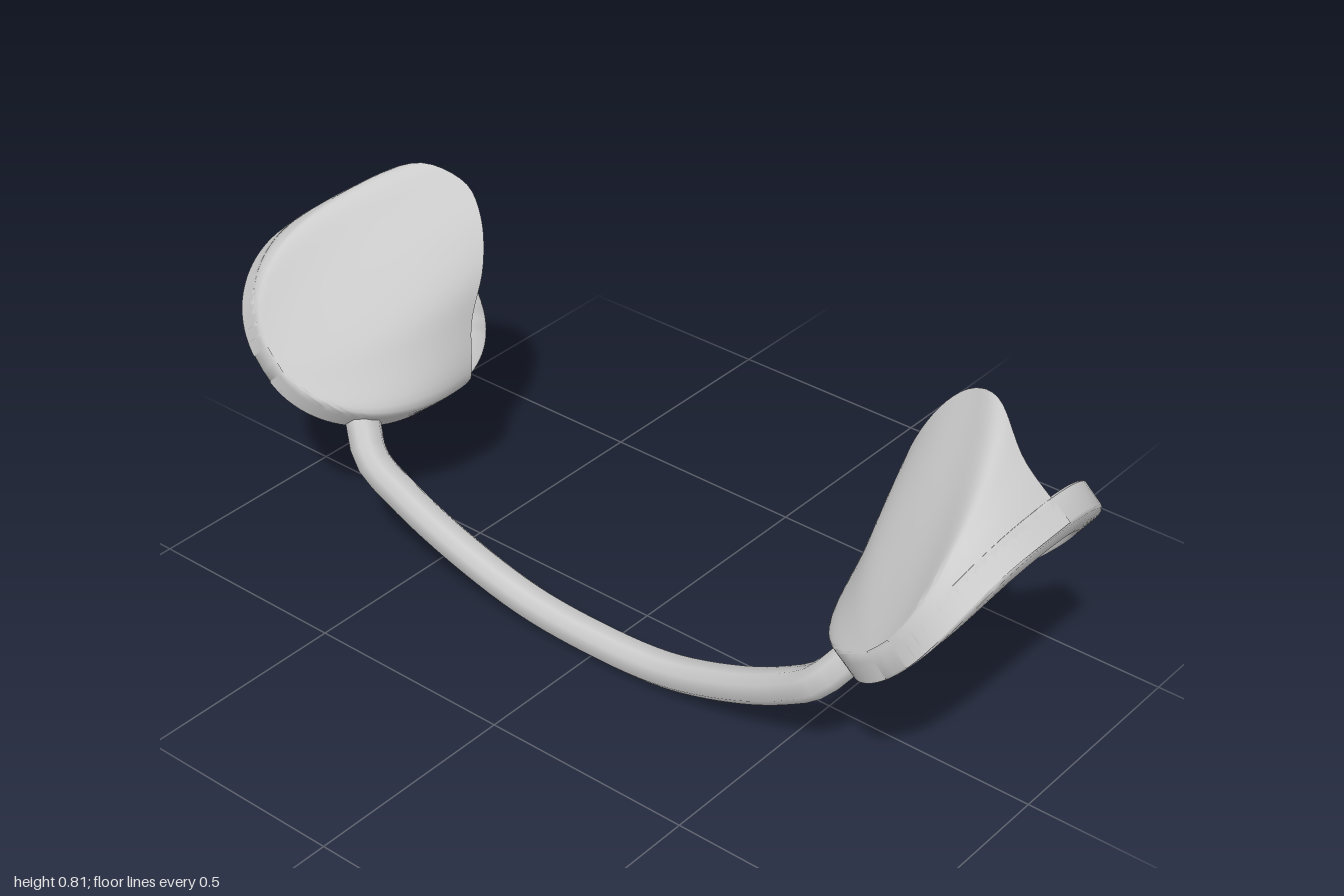
import * as THREE from 'three';
import { toCreasedNormals } from 'three/addons/utils/BufferGeometryUtils.js';

const HALF_Z = 0.30, HALF_U = 0.257, DEPTH = 0.066;

// Each cup is laid out in its own frame: u runs up and outward along the
// rim, n points inward and up away from it, z is the model's z.
const CENTRE = new THREE.Vector3(0.825, 0.473, 0);
const U = new THREE.Vector3(0.68, 0.73, 0);
const N = new THREE.Vector3(-0.73, 0.68, 0);

function place(u, n, z, side) {
  const p = CENTRE.clone().addScaledVector(U, u).addScaledVector(N, n);
  return [p.x * side, p.y, z];
}

// The rim bows outward at its middle and is rounder along its lower half
const bow = (u) => 0.05 * Math.max(0, 1 - (u / HALF_U) ** 2);
const roundness = (u) => (u > 0 ? 2.45 : 2.25);

// Joins rows of points into a surface
function loft(rows, closed, side, crease) {
  const count = rows[0].length, index = [];
  for (let i = 0; i < rows.length - 1; i++) {
    for (let j = 0; j < (closed ? count : count - 1); j++) {
      const k = (j + 1) % count;
      const a = i * count + j, b = i * count + k, c = a + count, d = b + count;
      if (side > 0) index.push(a, b, c, b, d, c);
      else index.push(a, c, b, b, c, d);
    }
  }
  const geo = new THREE.BufferGeometry();
  geo.setAttribute('position', new THREE.Float32BufferAttribute(rows.flat(2), 3));
  geo.setIndex(index);
  return toCreasedNormals(geo, crease);
}

// Rounded oval rim: a bevelled rectangle swept round a superellipse
function rimGeometry(side) {
  const b = 0.08;
  const section = [[1, b], [1, 1 - b], [1 - b, 1], [b, 1], [0, 1 - b], [0, b], [b, 0], [1 - b, 0]];
  const power = (v, p) => Math.sign(v) * Math.abs(v) ** (2 / p);
  const rows = [];
  for (let i = 0; i <= 64; i++) {
    const a = (i % 64) / 64 * Math.PI * 2, c = Math.cos(a), s = Math.sin(a);
    const p = roundness(c), wall = c > 0 ? 0.06 : 0.08;
    rows.push(section.map(([w, d]) => {
      const u = power(c, p) * (HALF_U - wall * (1 - w));
      const z = power(s, p) * (HALF_Z - 0.077 * (1 - w));
      return place(u, d * DEPTH - bow(u), z, side);
    }));
  }
  return loft(rows, true, side, 0.95);
}

// Hood: an arch that wraps the front of the rim and grows to its free back edge
function hoodGeometry(side) {
  const edge = new THREE.CatmullRomCurve3([
    [-0.259, 0.002, -0.06], [-0.26, 0.11, -0.06], [-0.241, 0.137, -0.06],
    [-0.154, 0.205, -0.075], [-0.063, 0.282, -0.125], [0.041, 0.318, -0.165],
    [0.14, 0.316, -0.18], [0.223, 0.276, -0.14], [0.25, 0.148, -0.062], [0.259, 0.002, -0.06],
  ].map((p) => new THREE.Vector3(...p))).getSpacedPoints(44);
  const rows = [];
  for (let i = 0; i <= 28; i++) {
    const t = (i / 28) ** 1.8;
    rows.push(edge.map((e) => {
      const z = THREE.MathUtils.lerp(0.299, e.z, t);
      const p = roundness(e.x);
      const u = e.x * (1 - Math.abs(z / HALF_Z) ** p) ** (1 / p);
      // the inner side fills out sooner than the top
      const h = t + (0.07 - 0.5 * e.x) * Math.sin(Math.PI * t);
      const wall = Math.min(e.y, DEPTH);
      return place(u, wall + (e.y - wall) * h - bow(u) * (1 - t), z, side);
    }));
  }
  return loft(rows, false, side, 1.2);
}

// Sagging strap: a chamfered square swept between the cups
function strapGeometry() {
  const half = [
    [0.2, 0.055, 0.175], [0.4, 0.125, 0.19], [0.54, 0.2, 0.203],
    [0.625, 0.262, 0.208], [0.685, 0.34, 0.172],
  ];
  const path = [
    ...half.map(([x, y, z]) => [-x, y, z]).reverse(), [0, 0.039, 0.172], ...half,
  ].map((p) => new THREE.Vector3(...p));
  const r = 0.035, c = 0.018;
  const section = new THREE.Shape([
    [r, -c], [r, c], [c, r], [-c, r], [-r, c], [-r, -c], [-c, -r], [c, -r],
  ].map((p) => new THREE.Vector2(...p)));
  const geo = new THREE.ExtrudeGeometry(section, {
    steps: 40, bevelEnabled: false, extrudePath: new THREE.CatmullRomCurve3(path),
  });
  return toCreasedNormals(geo, 1);
}

export function createModel() {
  const model = new THREE.Group();
  model.name = 'linkedCups';
  const grey = new THREE.MeshStandardMaterial({ color: 0xcccccc });
  const thin = new THREE.MeshStandardMaterial({ color: 0xcccccc, side: THREE.DoubleSide });
  const add = (parent, name, geometry, material) => {
    const mesh = new THREE.Mesh(geometry, material);
    mesh.name = name;
    parent.add(mesh);
  };

  // Pair of hooded cups
  for (const side of [1, -1]) {
    const cup = new THREE.Group();
    cup.name = side > 0 ? 'leftCup' : 'rightCup';
    add(cup, 'rim', rimGeometry(side), grey);
    add(cup, 'hood', hoodGeometry(side), thin);
    model.add(cup);
  }

  add(model, 'strap', strapGeometry(), grey);
  return model;
}
